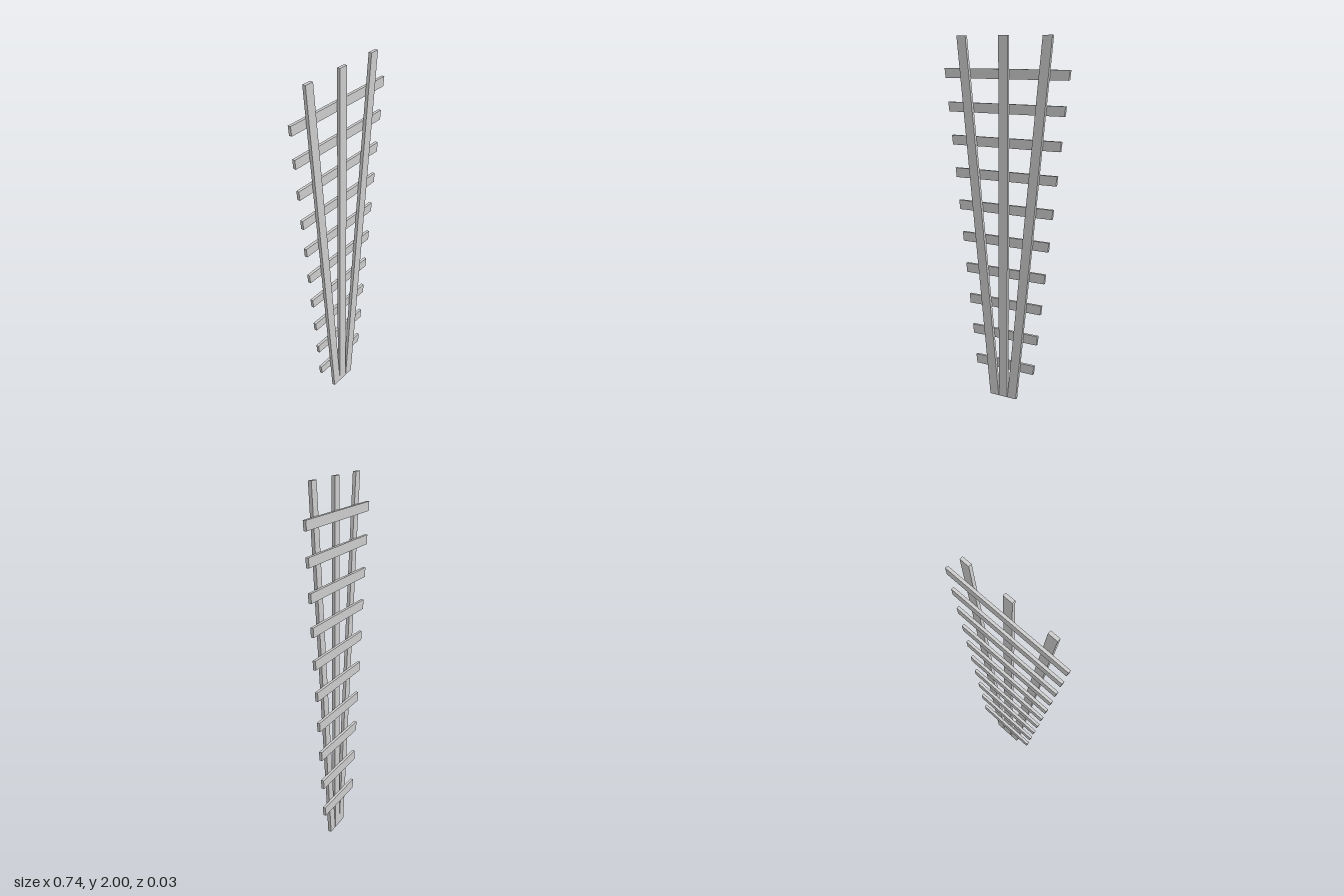
import * as THREE from 'three';

const material = new THREE.MeshStandardMaterial({ color: 0xcccccc, flatShading: true });
const SPLIT_Z = -0.001; // plane where the slats meet the uprights

// Flat board cut from a four-cornered outline, spanning z0 to z1
function board(name, corners, z0, z1) {
  const shape = new THREE.Shape(corners.map(([x, y]) => new THREE.Vector2(x, y)));
  const geometry = new THREE.ExtrudeGeometry(shape, { depth: z1 - z0, bevelEnabled: false });
  geometry.translate(0, 0, z0);
  const mesh = new THREE.Mesh(geometry, material);
  mesh.name = name;
  return mesh;
}

export function createModel() {
  const trellis = new THREE.Group();
  trellis.name = 'fanTrellis';

  // Uprights: a straight centre post and two splayed side posts
  const upright = (name, bottom, top) => trellis.add(board(name,
    [[bottom - 0.027, 0], [bottom + 0.027, 0], [top + 0.027, 2], [top - 0.027, 2]],
    SPLIT_Z, 0.017));
  upright('centrePost', 0, 0);
  upright('leftPost', 0.055, 0.253);
  upright('rightPost', -0.055, -0.253);

  // Cross slats on the back, widening upward with angled ends
  const slats = new THREE.Group();
  slats.name = 'crossSlats';
  const halfWidth = (y) => 0.1605 + 0.1145 * y;
  for (let i = 0; i < 10; i++) {
    const y = 0.189 + i * 0.1795;
    const y0 = y - 0.026, y1 = y + 0.026;
    const w0 = halfWidth(y0), w1 = halfWidth(y1);
    slats.add(board(`crossSlat${i + 1}`,
      [[-w0, y0], [w0, y0], [w1, y1], [-w1, y1]], -0.017, SPLIT_Z));
  }
  trellis.add(slats);
  return trellis;
}
